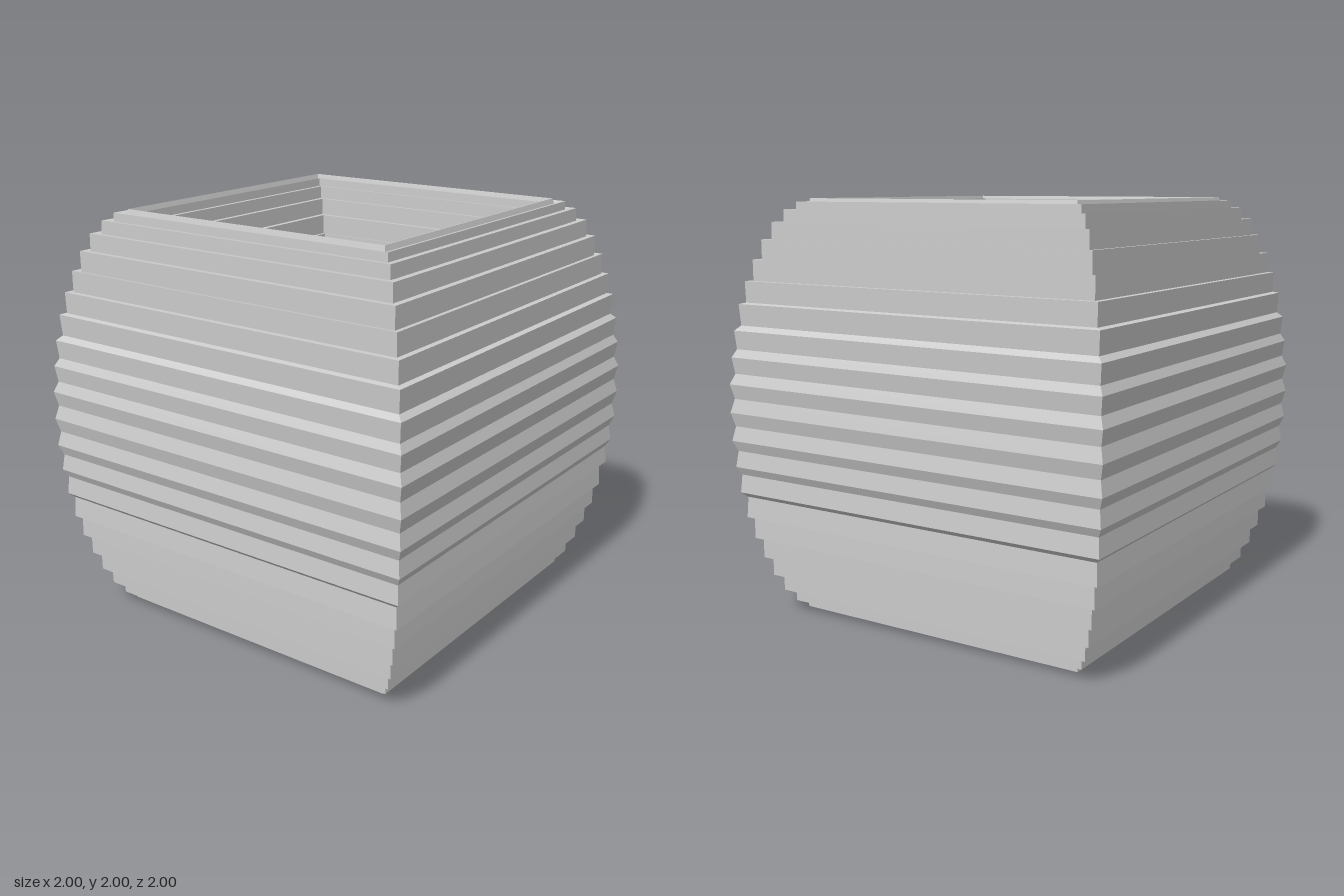
import * as THREE from 'three';

// One quarter of the ridged cross-section, from the outer middle to the top:
// ridge tips and the grooves between them, as [distance from axis, height from middle]
const ridges = [
  [1, 0], [0.998, 0.136], [0.989, 0.264], [0.977, 0.39], [0.959, 0.514], [0.936, 0.62],
  [0.908, 0.72], [0.878, 0.812], [0.843, 0.892], [0.803, 0.95], [0.762, 0.985], [0.715, 1],
];
const grooves = [
  [0.984, 0.066], [0.979, 0.186], [0.97, 0.302], [0.953, 0.413], [0.934, 0.52], [0.908, 0.62],
  [0.878, 0.715], [0.844, 0.81], [0.804, 0.888], [0.763, 0.945], [0.722, 0.975],
];
const MID = 0.715; // centre line of the wall

// Mirror the quarter into a closed loop, running counter-clockwise
function ringProfile() {
  const quarter = [];
  ridges.forEach((p, i) => {
    quarter.push(p);
    if (grooves[i]) quarter.push(grooves[i]);
  });
  const mirrored = quarter.slice(0, -1).reverse().map(([x, y]) => [2 * MID - x, y]);
  const upper = [...quarter, ...mirrored];
  const lower = upper.slice(1, -1).reverse().map(([x, y]) => [x, -y]);
  return [...upper, ...lower, upper[0]];
}

export function createModel() {
  const group = new THREE.Group();
  group.name = 'ridgedSquareRing';

  // Four-sided sweep: the corners lie sqrt(2) further out than the flat sides
  const points = ringProfile().map(([x, y]) => new THREE.Vector2(x * Math.SQRT2, y + 1));
  const geometry = new THREE.LatheGeometry(points, 4, Math.PI / 4);

  const ring = new THREE.Mesh(
    geometry,
    new THREE.MeshStandardMaterial({ color: 0xcccccc, flatShading: true })
  );
  ring.name = 'ridgedWall';
  group.add(ring);
  return group;
}
